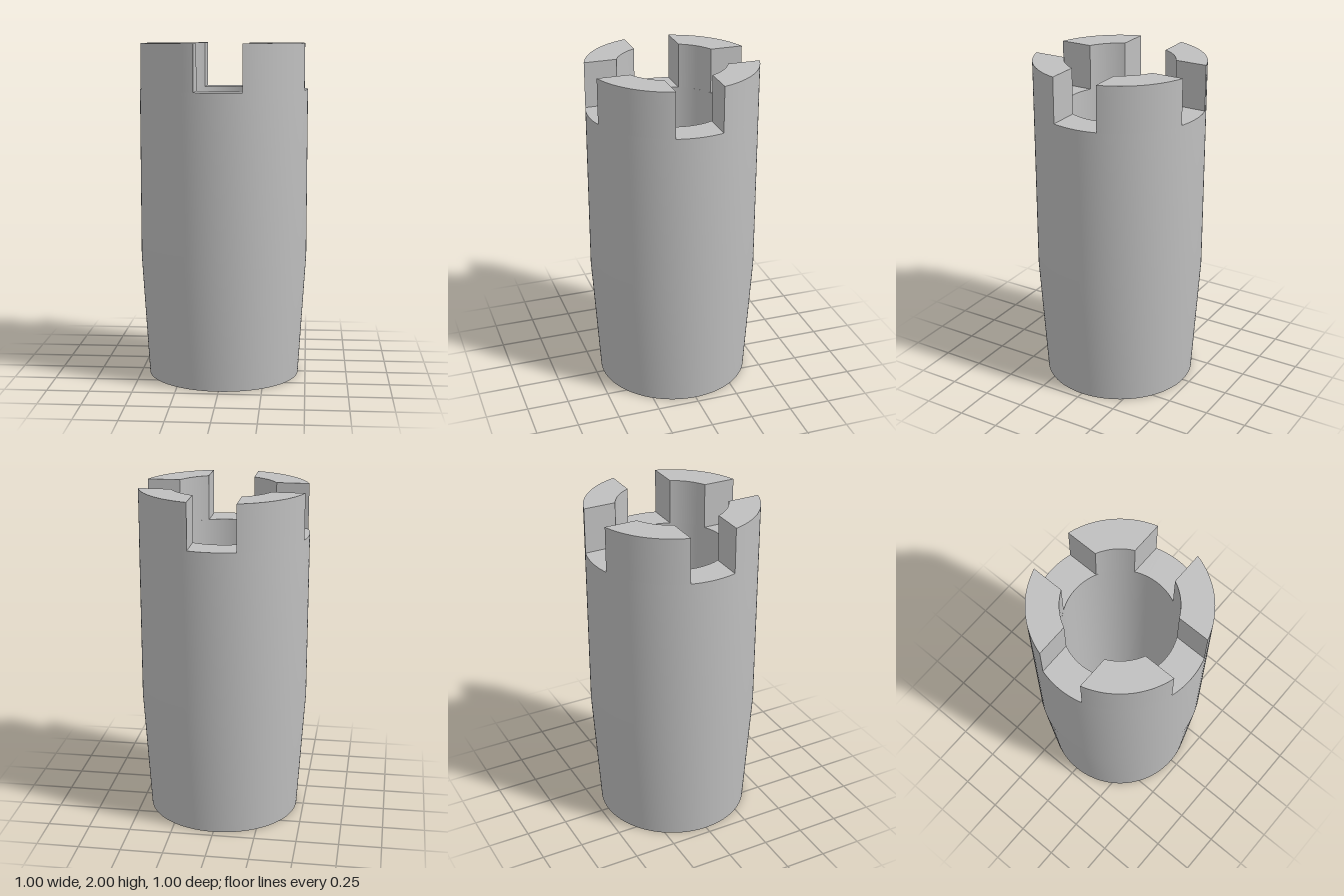
import * as THREE from 'three';
import { toCreasedNormals } from 'three/addons/utils/BufferGeometryUtils.js';

const BORE = 0.32, OUTER = 0.5, BASE = 0.455;
const TAPER_Y = 0.73, SLOT_Y = 1.73, TOP_Y = 2, SLOT_HALF = 0.138;
const CREASE = 0.5;

// Hollow sleeve, tapering towards the foot
function sleeveGeometry() {
  const profile = [
    [BORE, 0], [BASE, 0], [OUTER, TAPER_Y], [OUTER, SLOT_Y], [BORE, SLOT_Y], [BORE, 0],
  ].map(([r, y]) => new THREE.Vector2(r, y));
  return toCreasedNormals(new THREE.LatheGeometry(profile, 128), CREASE);
}

// One castle tooth: a ring quadrant cut back by half a slot on both sides
function toothGeometry() {
  const a = Math.asin(SLOT_HALF / OUTER);
  const b = Math.asin(SLOT_HALF / BORE);
  const shape = new THREE.Shape();
  shape.absarc(0, 0, OUTER, a, Math.PI / 2 - a, false);
  shape.absarc(0, 0, BORE, Math.PI / 2 - b, b, true);
  shape.closePath();
  const geometry = new THREE.ExtrudeGeometry(shape, {
    depth: TOP_Y - SLOT_Y, bevelEnabled: false, curveSegments: 24,
  });
  geometry.rotateX(-Math.PI / 2);
  return toCreasedNormals(geometry, CREASE);
}

export function createModel() {
  const model = new THREE.Group();
  model.name = 'castellatedSleeve';
  const metal = new THREE.MeshStandardMaterial({ color: 0xbfbfbf });
  metal.name = 'grey metal';

  const sleeve = new THREE.Mesh(sleeveGeometry(), metal);
  sleeve.name = 'sleeve';
  model.add(sleeve);

  // Four teeth separated by the crossing slots
  const toothShape = toothGeometry();
  for (let i = 0; i < 4; i++) {
    const tooth = new THREE.Mesh(toothShape, metal);
    tooth.name = `tooth${i + 1}`;
    tooth.position.y = SLOT_Y;
    tooth.rotation.y = i * Math.PI / 2;
    model.add(tooth);
  }
  return model;
}
